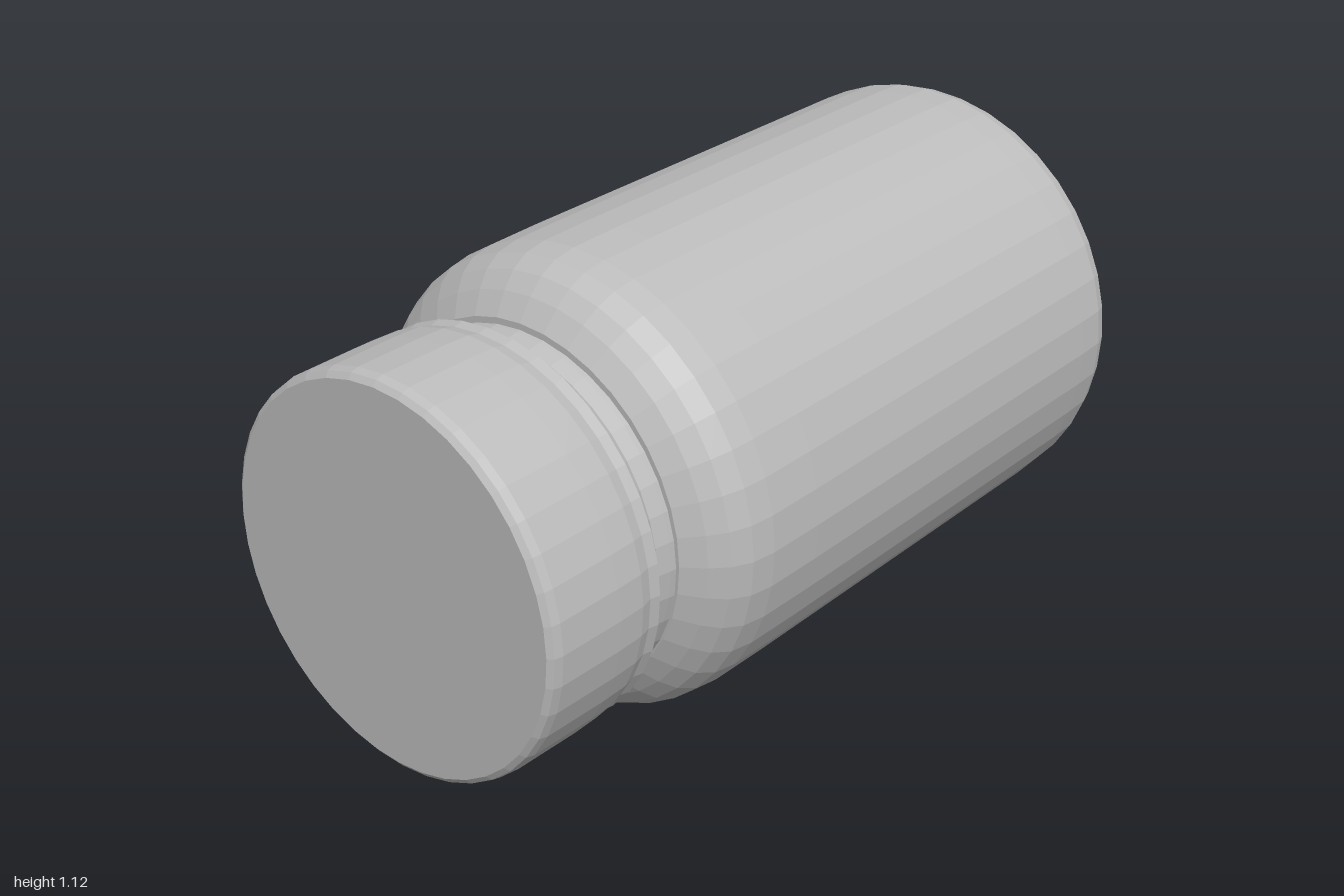
import * as THREE from 'three';

const SIDES = 40;

// Lathe a profile of [radius, z] pairs around the z axis
function turned(name, profile, material, y, tilt = 0) {
  const points = profile.map(([r, z]) => new THREE.Vector2(r, z));
  const geometry = new THREE.LatheGeometry(points, SIDES);
  geometry.rotateX(Math.PI / 2);
  const mesh = new THREE.Mesh(geometry, material);
  mesh.name = name;
  mesh.position.y = y;
  mesh.rotation.x = tilt;
  return mesh;
}

export function createModel() {
  const grey = new THREE.MeshStandardMaterial({ color: 0xbcbcbc, flatShading: true });
  grey.name = 'plainGrey';

  const bottle = new THREE.Group();
  bottle.name = 'bottle';

  // Body: dished base, rounded heel, straight wall, rounded shoulder
  bottle.add(turned('body', [
    [0, -0.90], [0.18, -0.905], [0.27, -0.92], [0.32, -0.95], [0.36, -0.98],
    [0.40, -0.99], [0.48, -0.992], [0.515, -0.985], [0.54, -0.965], [0.551, -0.93],
    [0.554, -0.85], [0.554, -0.5], [0.554, -0.1], [0.554, 0.25],
    [0.552, 0.40], [0.543, 0.46], [0.52, 0.505], [0.485, 0.54], [0.435, 0.575], [0, 0.585],
  ], grey, 0.563, 0.008));

  // Neck with a low bead under the cap
  bottle.add(turned('neck', [
    [0, 0.55], [0.43, 0.55], [0.425, 0.59], [0.418, 0.625],
    [0.425, 0.64], [0.43, 0.655], [0.415, 0.67], [0.41, 0.72], [0, 0.72],
  ], grey, 0.552));

  // Cap: flared lower lip, softened edges and a flat front
  bottle.add(turned('cap', [
    [0, 0.67], [0.41, 0.67], [0.445, 0.66], [0.468, 0.675], [0.463, 0.70],
    [0.47, 0.73], [0.472, 0.80], [0.47, 0.97], [0.465, 0.99], [0.452, 1.0], [0, 1.0],
  ], grey, 0.55));

  return bottle;
}
